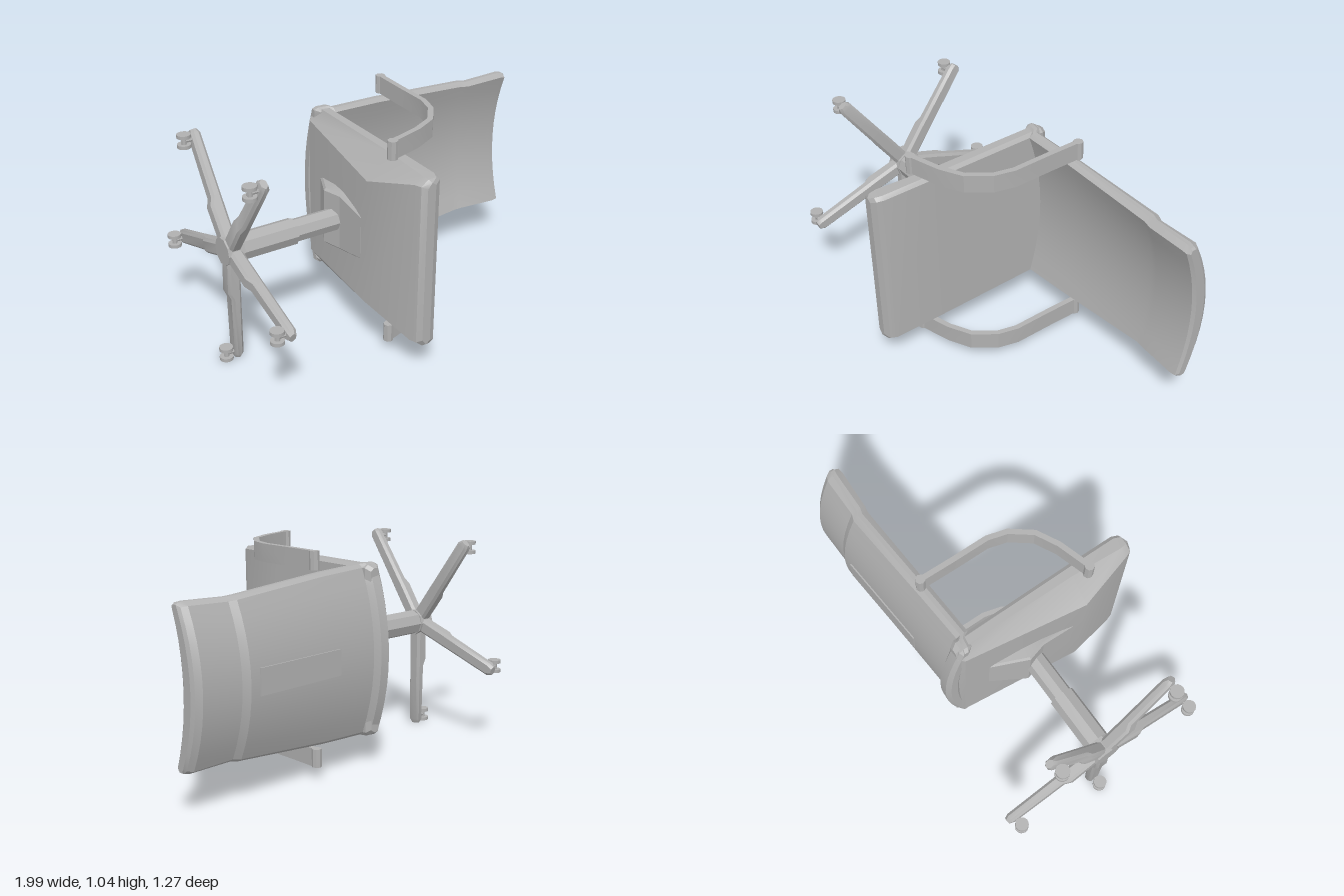
import * as THREE from 'three';
import { toCreasedNormals } from 'three/addons/utils/BufferGeometryUtils.js';

const grey = new THREE.MeshStandardMaterial({ color: 0xb0b0b0 });
grey.name = 'grey';

function part(name, geometry, parent) {
  const mesh = new THREE.Mesh(geometry, grey);
  mesh.name = name;
  parent.add(mesh);
  return mesh;
}

// Closed skin over rings of equal point count, capped at both ends, facing outwards
function loft(rings, crease = 0.5) {
  const n = rings[0].length, pts = rings.flat(), idx = [];
  for (let i = 0; i < rings.length - 1; i++) {
    for (let j = 0; j < n; j++) {
      const a = i * n + j, b = i * n + (j + 1) % n;
      idx.push(a, b, b + n, a, b + n, a + n);
    }
  }
  [[0, true], [rings.length - 1, false]].forEach(([r, flip]) => {
    // Strip between the two halves of the ring suits curved ends
    for (let j = 0; j < n / 2 - 1; j++) {
      const a = r * n + j, b = a + 1, c = r * n + n - 1 - j, d = c - 1;
      if (flip) idx.push(a, d, b, a, c, d);
      else idx.push(a, b, d, a, d, c);
    }
  });
  const v = (i) => new THREE.Vector3(...pts[i]);
  let volume = 0;
  for (let i = 0; i < idx.length; i += 3) volume += v(idx[i]).dot(v(idx[i + 1]).cross(v(idx[i + 2])));
  if (volume < 0) idx.reverse();
  const g = new THREE.BufferGeometry();
  g.setAttribute('position', new THREE.Float32BufferAttribute(pts.flat(), 3));
  g.setIndex(idx);
  return toCreasedNormals(g, crease);
}

// Chamfered block section in x and y at depth z
function blockRing(z, w, top, bottom, c) {
  return [[-w + c, top, z], [w - c, top, z], [w, top - c, z], [w, bottom + c, z],
    [w - c, bottom, z], [-w + c, bottom, z], [-w, bottom + c, z], [-w, top - c, z]];
}

function cylinder(name, r, length, sides, parent) {
  return part(name, toCreasedNormals(new THREE.CylinderGeometry(r, r, length, sides), 0.5), parent);
}

const AXIS = 0.145; // depth of the column axis

function buildBase(chair) {
  const base = new THREE.Group();
  base.name = 'base';
  base.position.z = AXIS;
  chair.add(base);

  // Five-armed star
  for (let i = 0; i < 5; i++) {
    const angle = i * Math.PI * 2 / 5;
    const arm = part('baseArm', loft([
      [0, 0.035, -0.705, -0.765], [0.2, 0.035, -0.707, -0.77], [0.235, 0.034, -0.707, -0.755],
      [0.52, 0.032, -0.708, -0.752], [0.542, 0.022, -0.715, -0.745],
    ].map(([z, w, t, b]) => blockRing(z, w, t, b, 0.012))), base);
    arm.rotation.y = Math.PI / 2 - angle;

    // Twin-wheel caster, all axles parallel
    const caster = new THREE.Group();
    caster.name = 'caster';
    caster.position.set(0.507 * Math.cos(angle), -0.786, 0.507 * Math.sin(angle) + 0.006);
    base.add(caster);
    cylinder('casterStem', 0.012, 0.05, 8, caster).position.y = 0.025;
    const axle = cylinder('casterAxle', 0.013, 0.06, 8, caster);
    axle.rotation.z = Math.PI / 2;
    for (const s of [-1, 1]) {
      const wheel = cylinder('casterWheel', 0.031, 0.016, 16, caster);
      wheel.rotation.z = Math.PI / 2;
      wheel.position.x = s * 0.023;
    }
  }

  // Hub and two-stage column
  cylinder('hub', 0.065, 0.08, 10, base).position.y = -0.735;
  cylinder('lowerColumn', 0.062, 0.29, 8, base).position.y = -0.575;
  cylinder('upperColumn', 0.053, 0.24, 8, base).position.y = -0.32;
}

function buildSeat(upper) {
  // Depth, half width, top, rim bottom, panel half width, panel bottom
  const rows = [
    [-0.215, 0.385, -0.06, -0.1, 0.34, -0.115], [-0.19, 0.4, -0.045, -0.1, 0.34, -0.14],
    [0.41, 0.404, -0.04, -0.1, 0.3, -0.217], [0.665, 0.405, -0.04, -0.115, 0.375, -0.155],
    [0.698, 0.402, -0.052, -0.11, 0.375, -0.143], [0.713, 0.39, -0.08, -0.1, 0.365, -0.12],
  ];
  part('seat', loft(rows.map(([z, w, top, rim, pw, bottom]) => [
    [-w + 0.014, top, z], [w - 0.014, top, z], [w, top - 0.018, z], [w, rim, z],
    [pw, bottom, z], [-pw, bottom, z], [-w, rim, z], [-w, top - 0.018, z],
  ]), 0.4), upper);

  // Tilt housing under the seat
  part('tiltHousing', loft([
    [-0.1, 0.1, -0.14], [0.1, 0.14, -0.24], [0.19, 0.14, -0.215], [0.36, 0.11, -0.212],
  ].map(([z, w, b]) => blockRing(z, w, -0.1, b, 0.01)), 0.2), upper);
}

function buildBackrest(upper) {
  // Height, half width, front depth at the middle, thickness
  const rows = [
    [-0.128, 0.395, -0.225, 0.035], [-0.11, 0.407, -0.2, 0.08], [-0.065, 0.407, -0.19, 0.088],
    [-0.045, 0.402, -0.175, 0.075], [0.2, 0.393, -0.187, 0.079], [0.7, 0.357, -0.207, 0.096],
    [0.735, 0.353, -0.2, 0.088], [0.935, 0.361, -0.193, 0.099], [0.962, 0.357, -0.195, 0.08],
    [0.972, 0.35, -0.212, 0.045],
  ];
  const steps = 10;
  part('backrest', loft(rows.map(([y, w, front, t]) => {
    const a = [], b = [];
    for (let i = 0; i <= steps; i++) {
      const s = i / steps * 2 - 1;
      const sag = 0.063 * s * s;
      a.push([s * (w - 0.016), y, front + sag]);
      b.unshift([s * (w - 0.016), y, front + sag - t * (1 - 0.2 * s * s)]);
    }
    const edge = front + 0.063 - t * 0.4;
    return [[-w, y, edge + 0.01], ...a, [w, y, edge + 0.01], [w, y, edge - 0.01], ...b, [-w, y, edge - 0.01]];
  }), 0.4), upper);

  // Flush strip along the spine
  const strip = part('spineStrip', new THREE.BoxGeometry(0.12, 0.48, 0.009), upper);
  strip.position.set(0, 0.41, -0.281);
  strip.rotation.x = -0.074;
}

function buildArmrests(upper) {
  // Bent band in depth and height
  const path = [[-0.166, 0.234], [0, 0.231], [0.18, 0.231], [0.273, 0.206],
    [0.37, 0.132], [0.423, 0.028], [0.47, -0.13]];
  const h = 0.013, inner = 0.407, outer = 0.492;
  for (const s of [-1, 1]) {
    const rings = path.map(([z, y], i) => {
      const p = path[Math.max(i - 1, 0)], q = path[Math.min(i + 1, path.length - 1)];
      const len = Math.hypot(q[0] - p[0], q[1] - p[1]);
      const nz = -(q[1] - p[1]) / len * h, ny = (q[0] - p[0]) / len * h;
      return [[s * inner, y + ny, z + nz], [s * outer, y + ny, z + nz],
        [s * outer, y - ny, z - nz], [s * inner, y - ny, z - nz]];
    });
    part('armrest', loft(rings, 0.3), upper);
    // Rounded pins at both ends of the band
    for (const [z, y] of [path[0], path[path.length - 1]]) {
      const pin = cylinder('armrestPin', 0.023, outer - inner, 8, upper);
      pin.rotation.z = Math.PI / 2;
      pin.position.set(s * (inner + outer) / 2, y, z);
    }
  }
}

export function createModel() {
  const model = new THREE.Group();
  model.name = 'officeChair';

  // The chair is built upright, then laid on its side
  const chair = new THREE.Group();
  chair.name = 'chair';
  const up = new THREE.Vector3(0.932, 0, 0.363).normalize();
  const forward = new THREE.Vector3(-up.z, 0, up.x);
  chair.quaternion.setFromRotationMatrix(
    new THREE.Matrix4().makeBasis(new THREE.Vector3(0, -1, 0), up, forward));
  chair.position.y = 0.549;
  model.add(chair);
  buildBase(chair);

  // Seat, back and arms swivel slightly on the column
  const swivel = new THREE.Group();
  swivel.name = 'swivel';
  swivel.position.z = AXIS;
  swivel.rotation.y = 0.015;
  chair.add(swivel);
  const upper = new THREE.Group();
  upper.name = 'upperChair';
  upper.position.z = -AXIS;
  swivel.add(upper);
  buildSeat(upper);
  buildBackrest(upper);
  buildArmrests(upper);
  return model;
}
